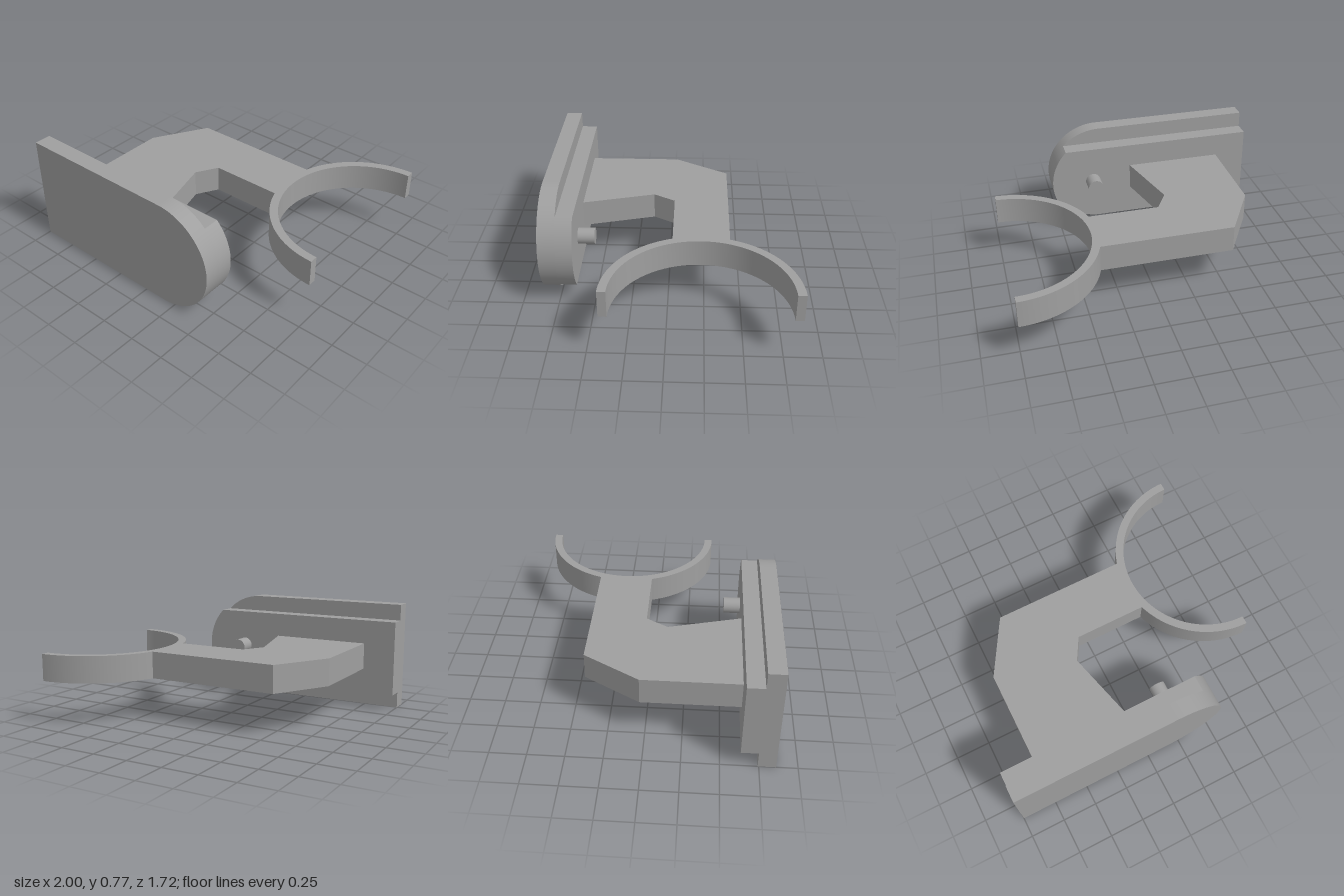
import * as THREE from 'three';
import { toCreasedNormals } from 'three/addons/utils/BufferGeometryUtils.js';

const grey = new THREE.MeshStandardMaterial({ color: 0x9f9f9f });
grey.name = 'grey';

// Extrude a shape from depth `from` to depth `to`, smooth only along curves
function slab(shape, from, to) {
  const geo = new THREE.ExtrudeGeometry(shape, { depth: to - from, bevelEnabled: false, curveSegments: 48 });
  geo.translate(0, 0, from);
  return toCreasedNormals(geo, 0.5);
}

// Plate outline with a round end, trimmed to a half height about its middle
const R = 0.385, END_X = 0.157;
function plateShape(halfHeight) {
  const a = Math.asin(halfHeight / R);
  const s = new THREE.Shape();
  s.moveTo(-1, R + halfHeight);
  s.lineTo(-1, R - halfHeight);
  s.absarc(END_X, R, R, -a, a, false);
  s.closePath();
  return s;
}

export function createModel() {
  const group = new THREE.Group();
  const add = (name, geo) => {
    const mesh = new THREE.Mesh(geo, grey);
    mesh.name = name;
    group.add(mesh);
    return mesh;
  };

  // Mounting plate and the narrower rail behind it
  add('frontPlate', slab(plateShape(R), 0.743, 0.86));
  add('backRail', slab(plateShape(0.27), 0.628, 0.743));

  // Locating pin
  const pin = add('pin', new THREE.CylinderGeometry(0.057, 0.057, 0.12, 32));
  pin.rotation.x = Math.PI / 2;
  pin.position.set(0.228, 0.388, 0.571);

  // Bent arm and half ring cradle in one outline, drawn as (x, -z) and laid down
  const cx = 1, cy = 0.2235, outer = 0.6365, inner = 0.58;
  const t = Math.asin(0.1925 / outer);
  const arm = new THREE.Shape();
  arm.moveTo(-0.77, 0.033);
  arm.lineTo(-0.77, -0.628);
  arm.lineTo(-0.065, -0.628);
  arm.lineTo(-0.2, -0.12);
  arm.lineTo(-0.112, 0.031);
  arm.absarc(cx, cy, outer, Math.PI + t, Math.PI * 1.5, false);
  arm.absarc(cx, cy, inner, Math.PI * 1.5, Math.PI / 2, true);
  arm.absarc(cx, cy, outer, Math.PI / 2, Math.PI - t, false);
  arm.lineTo(-0.545, 0.416);
  arm.closePath();
  add('armAndHalfRing', slab(arm, 0.293, 0.483).rotateX(-Math.PI / 2));

  return group;
}
